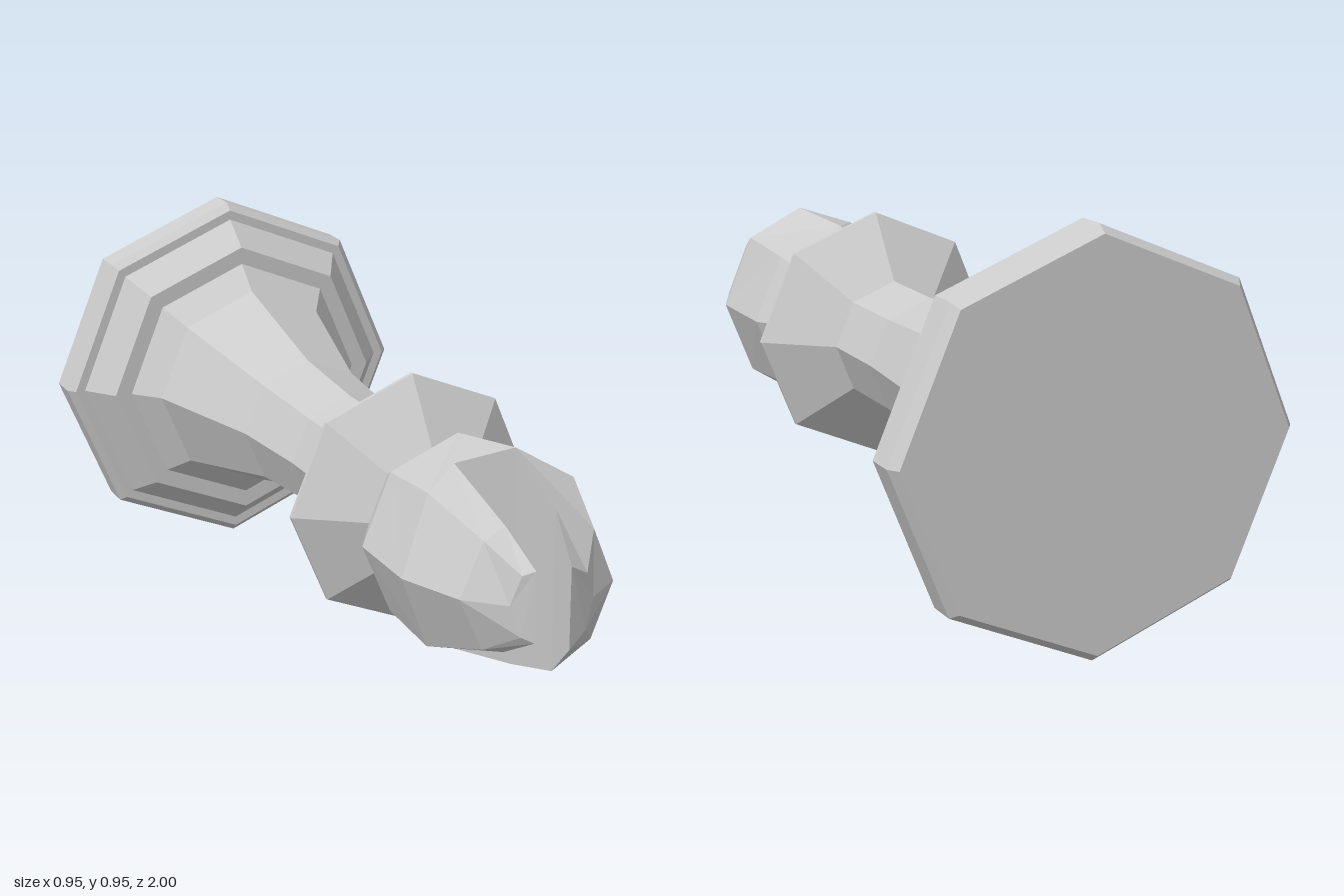
import * as THREE from 'three';

const material = new THREE.MeshStandardMaterial({ color: 0xcccccc, flatShading: true });

// Eight-sided turned part, profile given as [radius, z]
function turned(name, profile) {
  const geo = new THREE.LatheGeometry(profile.map(([r, z]) => new THREE.Vector2(r, z)), 8);
  geo.rotateX(Math.PI / 2);
  const mesh = new THREE.Mesh(geo, material);
  mesh.name = name;
  return mesh;
}

// Upper half of an octagon ring on one side: top, diagonal, side
const ring = (s, r, z) => [[0, r, z], [s * r * 0.707, r * 0.707, z], [s * r, 0, z]];

// Complete a half section by mirroring it in y
const section = (half) => [...half, ...[half[1], half[0]].map(([x, y, z]) => [x, -y, z])];

// Head halves: two shared rings, then the prong beside the slot
const rightHalf = [
  ring(1, 0.16, 0.36),
  ring(1, 0.237, 0.49),
  [[0.04, 0.258, 0.69], [0.17, 0.18, 0.72], [0.24, 0, 0.73]],
  [[0.025, 0.187, 0.9], [0.12, 0.128, 0.9], [0.172, 0, 0.9]],
  [[0.01, 0.095, 1], [0.06, 0.065, 0.98], [0.085, 0, 0.965]],
].map(section);
const leftHalf = [
  ring(-1, 0.16, 0.36),
  ring(-1, 0.237, 0.49),
  [[-0.08, 0.22, 0.63], [-0.168, 0.18, 0.68], [-0.24, 0, 0.7]],
  [[-0.067, 0.145, 0.85], [-0.125, 0.125, 0.86], [-0.18, 0, 0.86]],
  [[-0.055, 0.082, 0.965], [-0.08, 0.07, 0.95], [-0.1, 0, 0.935]],
].map(section);

function headGeometry() {
  const pos = [];
  const tri = (a, b, c) => pos.push(...a, ...b, ...c);

  const addHalf = (levels, flip) => {
    const face = (a, b, c) => (flip ? tri(a, c, b) : tri(a, b, c));
    for (let i = 0; i < levels.length - 1; i++) {
      const low = levels[i], high = levels[i + 1];
      // the fifth side is the slot wall, present on the prong only
      const sides = i >= 2 ? 5 : 4;
      for (let j = 0; j < sides; j++) {
        const k = (j + 1) % 5;
        face(low[j], high[j], high[k]);
        face(low[j], high[k], low[k]);
      }
    }
    // prong tip
    const tip = levels[levels.length - 1];
    for (let j = 1; j < 4; j++) face(tip[0], tip[j + 1], tip[j]);
  };
  addHalf(rightHalf, false);
  addHalf(leftHalf, true);

  // slot floor and the skin leading up to its two ends
  const L = leftHalf[2], R = rightHalf[2], base = rightHalf[1];
  tri(L[0], L[4], R[4]);
  tri(L[0], R[4], R[0]);
  tri(base[0], L[0], R[0]);
  tri(base[4], R[4], L[4]);

  const geo = new THREE.BufferGeometry();
  geo.setAttribute('position', new THREE.Float32BufferAttribute(pos, 3));
  geo.computeVertexNormals();
  return geo;
}

export function createModel() {
  const group = new THREE.Group();
  group.name = 'chessPiece';

  group.add(turned('base', [
    [0, -1], [0.455, -1], [0.473, -0.975], [0.473, -0.9], [0.455, -0.88],
    [0.43, -0.88], [0.37, -0.8], [0.325, -0.8], [0.265, -0.73],
  ]));
  group.add(turned('stem', [[0.265, -0.73], [0.175, -0.36], [0.155, -0.1], [0.155, 0.13]]));
  group.add(turned('collar', [[0.155, 0.125], [0.31, 0.245], [0.31, 0.255], [0.16, 0.36]]));

  const head = new THREE.Mesh(headGeometry(), material);
  head.name = 'slottedHead';
  group.add(head);

  // lying on its side, resting on the rim of the base
  group.children.forEach((part) => { part.position.y = 0.473; });
  return group;
}
